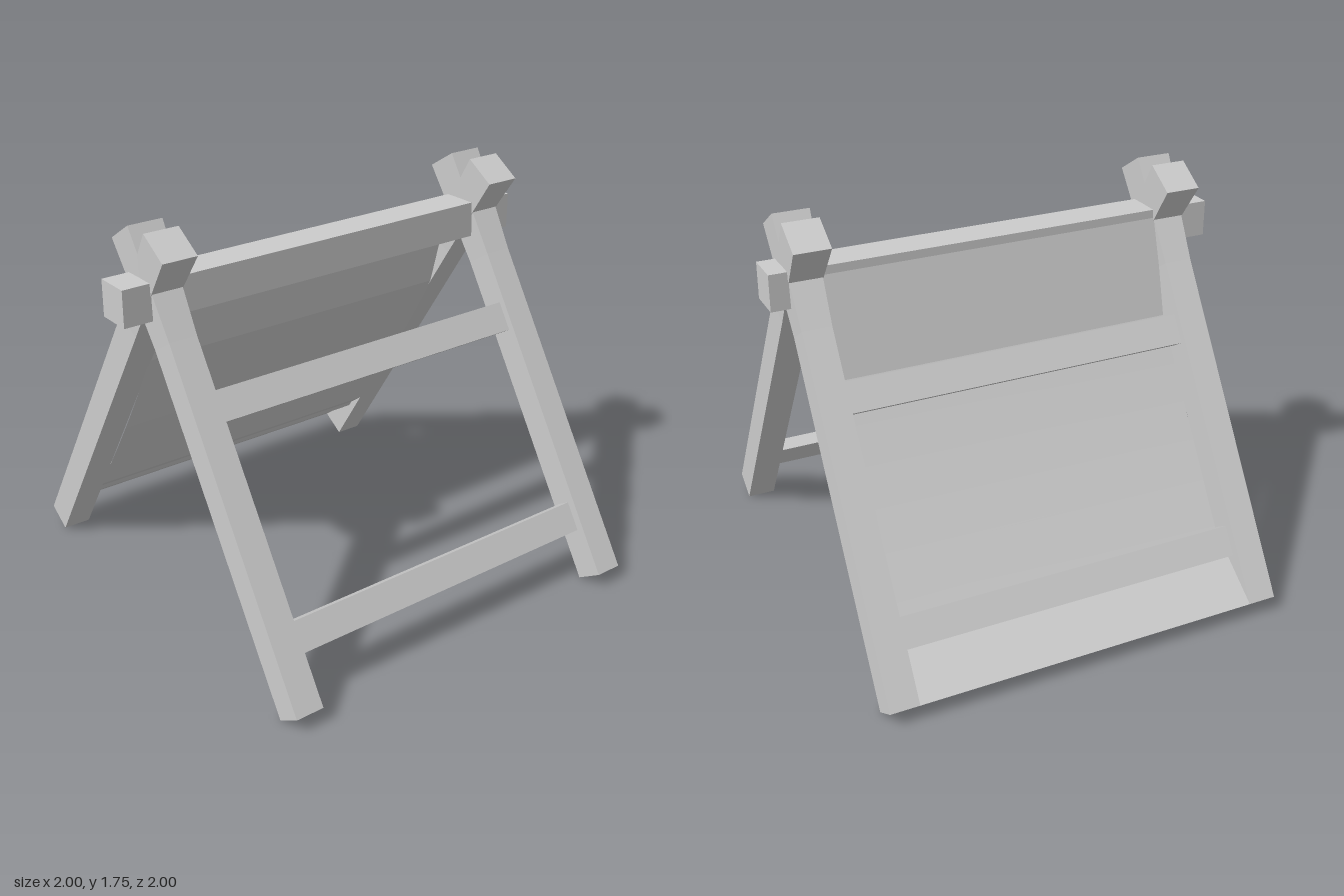
import * as THREE from 'three';

const LEAN = Math.atan2(1.07, 1.675); // tilt of each leg from vertical
const LEG = 1.988;
const Z0 = -0.79, Z1 = 0.75; // inner faces of the two leg pairs

// Square post that flares outward above its shoulder
function legGeometry() {
  const box = new THREE.BoxGeometry(0.13, LEG, 0.126, 1, 2, 1);
  box.translate(0, LEG / 2, 0);
  const p = box.attributes.position;
  for (let i = 0; i < p.count; i++) {
    const y = p.getY(i);
    if (y > LEG * 0.75) {
      p.setX(i, p.getX(i) * 1.2);
      p.setZ(i, p.getZ(i) * 1.24);
    } else if (y > 0.1) p.setY(i, LEG * 0.76);
  }
  const geo = box.toNonIndexed();
  geo.computeVertexNormals();
  return geo;
}

// Sheet swept along z from an x/y profile
function sheetGeometry(points) {
  const pos = [], index = [];
  points.forEach((pt, i) => {
    pos.push(pt.x, pt.y, Z0, pt.x, pt.y, Z1);
    if (i) {
      const a = 2 * i - 2;
      index.push(a, a + 1, a + 2, a + 1, a + 3, a + 2);
    }
  });
  const geo = new THREE.BufferGeometry();
  geo.setAttribute('position', new THREE.Float32BufferAttribute(pos, 3));
  geo.setIndex(index);
  geo.computeVertexNormals();
  return geo;
}

export function createModel() {
  const group = new THREE.Group();
  const grey = new THREE.MeshStandardMaterial({ color: 0xcccccc, side: THREE.DoubleSide });
  grey.name = 'plain grey';

  const add = (name, geo, x = 0, y = 0, z = 0, rot = 0) => {
    const mesh = new THREE.Mesh(geo, grey);
    mesh.name = name;
    mesh.position.set(x, y, z);
    mesh.rotation.z = rot;
    group.add(mesh);
  };

  // Ridge beam
  add('ridgeBeam', new THREE.BoxGeometry(0.157, 0.157, 2), 0, 1.478, 0);

  // Crossed legs and the rungs between them
  const leg = legGeometry();
  const rung = new THREE.BoxGeometry(0.06, 0.13, Z1 - Z0);
  for (const s of [-1, 1]) {
    const side = s > 0 ? 'left' : 'right';
    add(side + 'FrontLeg', leg, s * 0.945, 0.035, 0.806, s * LEAN);
    add(side + 'BackLeg', leg, s * 0.945, 0.035, -0.85, s * LEAN);
    add(side + 'UpperRung', rung, s * 0.29, 1.07, (Z0 + Z1) / 2, s * LEAN);
    add(side + 'LowerRung', rung, s * 0.793, 0.27, (Z0 + Z1) / 2, s * LEAN);
  }

  // Cloth on one side: foot flap, slack middle passing under the rungs, top flap
  const v = (x, y) => new THREE.Vector2(x, y);
  const foot = v(-1, 0.07), low = v(-0.712, 0.28), high = v(-0.19, 1.1), top = v(-0.08, 1.52);
  const sag = new THREE.QuadraticBezierCurve(low, v(-0.427, 0.676), high);
  add('clothFootFlap', sheetGeometry([foot, low]));
  add('clothMiddle', sheetGeometry(sag.getPoints(12)));
  add('clothTopFlap', sheetGeometry([high, top]));

  return group;
}
